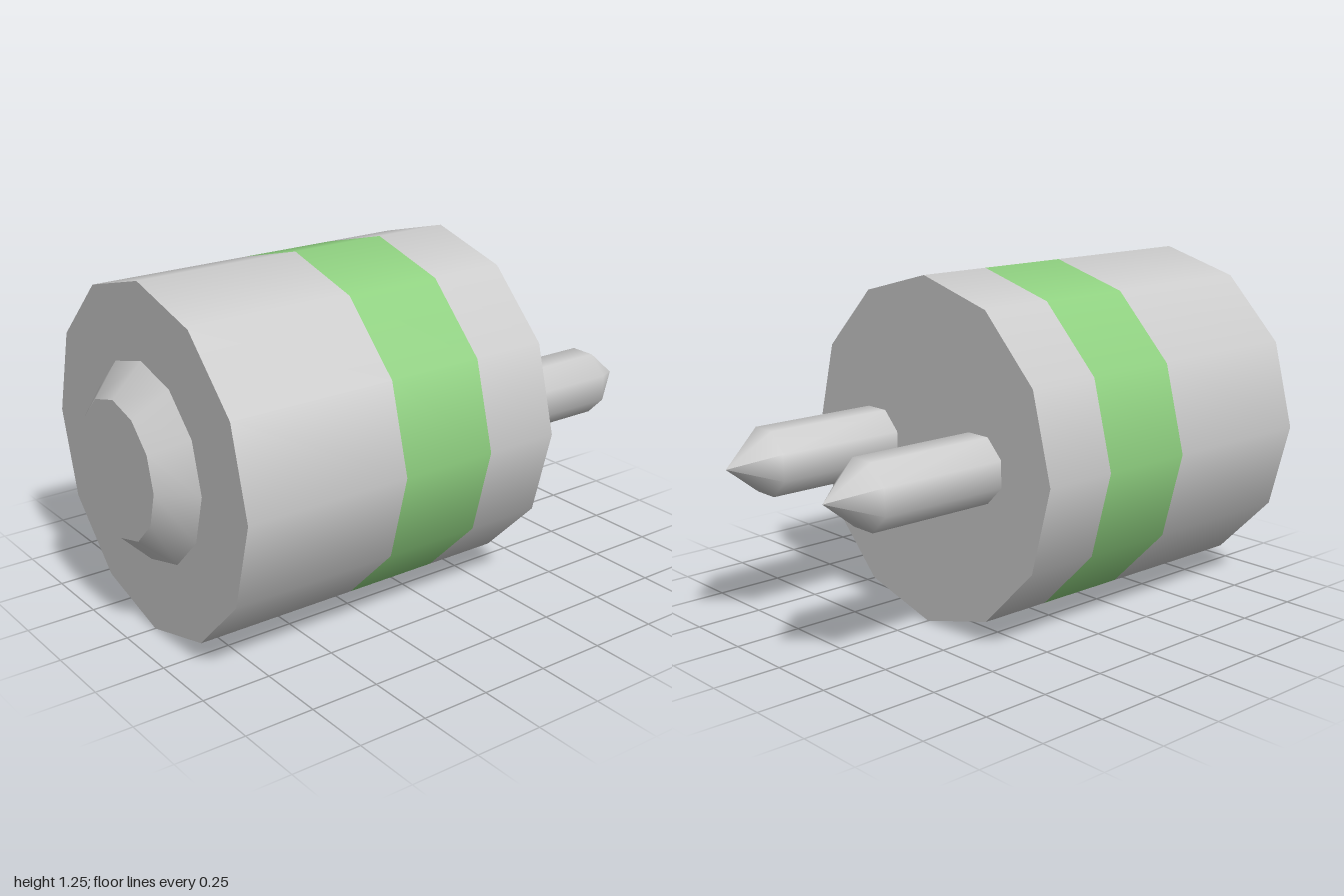
import * as THREE from 'three';

const RADIUS = 0.623;
const SIDES = 12;

export function createModel() {
  const model = new THREE.Group();
  const grey = new THREE.MeshStandardMaterial({ color: 0xcccccc });
  const green = new THREE.MeshStandardMaterial({ color: 0x8fd080 });

  const add = (name, geometry, material, x = 0) => {
    const mesh = new THREE.Mesh(geometry, material);
    mesh.name = name;
    mesh.position.set(x, RADIUS, 0);
    model.add(mesh);
  };

  // Twelve-sided drum lying along z, from zBack to zFront
  const drum = (zBack, zFront, rBack, rFront, open = false) =>
    new THREE.CylinderGeometry(rFront, rBack, zFront - zBack, SIDES, 1, open)
      .rotateX(Math.PI / 2)
      .translate(0, 0, (zBack + zFront) / 2);

  // Housing with a coloured band flush in its surface
  add('frontHousing', drum(0.28, 0.89, RADIUS, RADIUS), grey);
  add('colourBand', drum(-0.08, 0.28, RADIUS, RADIUS, true), green);
  add('rearHousing', drum(-0.36, -0.08, RADIUS, RADIUS), grey);

  // Tapered boss on the front face
  add('frontBoss', drum(0.89, 1, 0.355, 0.245), grey);

  // Two pointed eight-sided pins at the back, flats facing the axes
  const r = 0.115 / Math.cos(Math.PI / 8);
  const profile = [[r, 0.36], [r, 0.845], [0, 1]].map(([x, y]) => new THREE.Vector2(x, y));
  for (const side of [1, -1]) {
    const pin = new THREE.LatheGeometry(profile, 8, Math.PI / 8).rotateX(-Math.PI / 2);
    add(side > 0 ? 'leftPin' : 'rightPin', pin, grey, side * 0.275);
  }

  return model;
}
